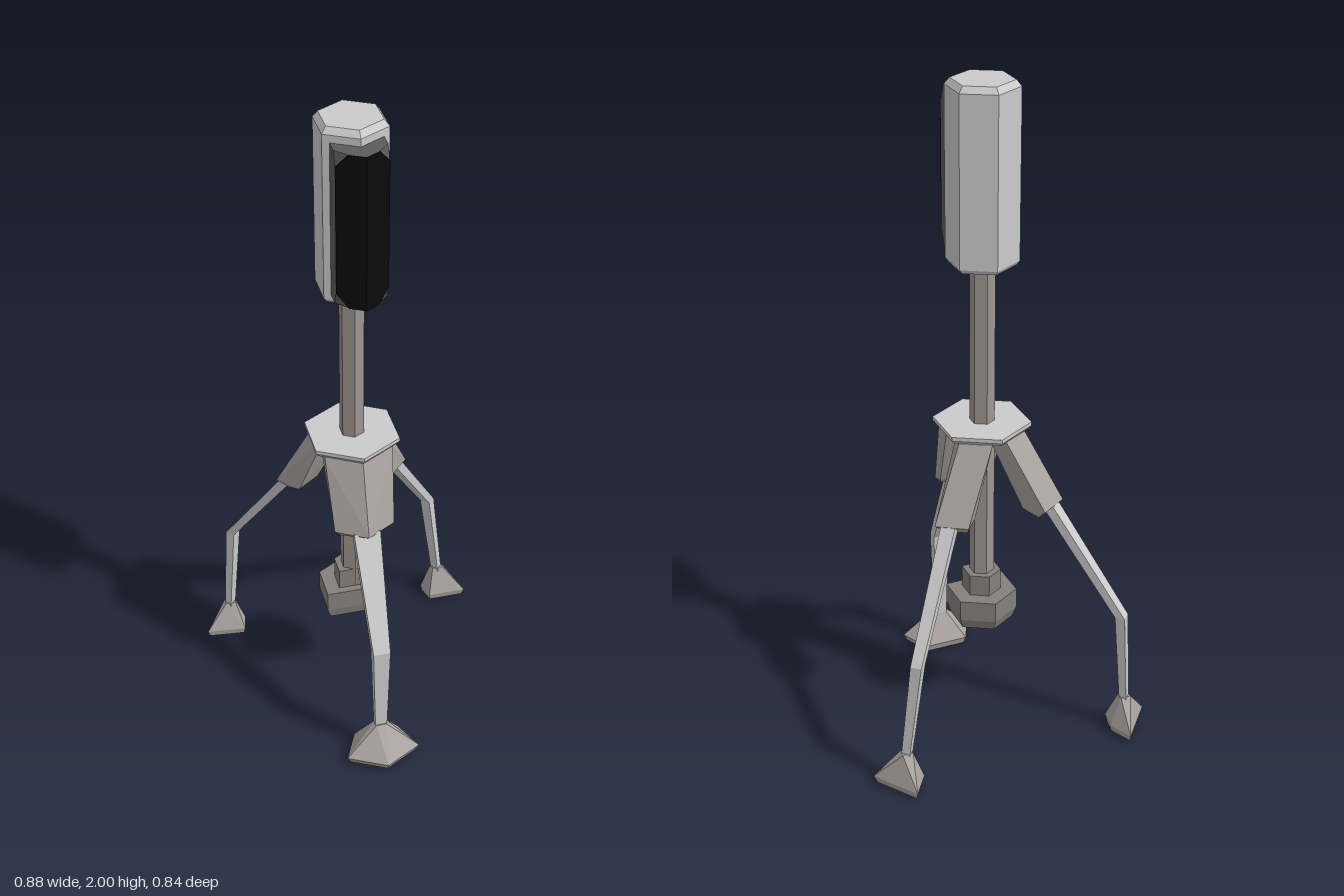
import * as THREE from 'three';
import { ConvexGeometry } from 'three/addons/geometries/ConvexGeometry.js';

const CX = -0.021, CZ = -0.024; // axis of the mast

const material = (name, color) => {
  const m = new THREE.MeshStandardMaterial({ color });
  m.name = name;
  return m;
};

export function createModel() {
  const group = new THREE.Group();
  const light = material('lightGrey', 0xcbcbcb);
  const warm = material('warmGrey', 0xaba4a1);
  const steel = material('mastGrey', 0x9d9590);
  const weightMat = material('weightGrey', 0x85807c);
  const dark = material('darkGrey', 0x5c5c5c);
  const black = material('black', 0x0a0a0a);

  // Faceted convex solid through a handful of [x, y, z] points
  const hull = (name, points, mat, parent = group) => {
    const mesh = new THREE.Mesh(
      new ConvexGeometry(points.map((p) => new THREE.Vector3(...p))), mat);
    mesh.name = name;
    parent.add(mesh);
    return mesh;
  };
  // Hexagonal prism with a corner to the front, from [radius, y] levels
  const hexPrism = (name, levels, mat) => {
    const pts = [];
    for (const [r, y] of levels)
      for (let i = 0; i < 6; i++) {
        const a = i * Math.PI / 3;
        pts.push([CX + r * Math.sin(a), y, CZ + r * Math.cos(a)]);
      }
    return hull(name, pts, mat);
  };

  // Column: head, mast and deck
  hexPrism('head', [[0.095, 1.472], [0.105, 1.485], [0.105, 1.982], [0.09, 2]], light);
  hexPrism('mast', [[0.037, 0.38], [0.037, 1.48]], steel);
  hexPrism('deck', [[0.136, 0.962], [0.145, 0.973], [0.145, 0.985]], light);

  // Hanging weights: hexagons cut flat at the front
  const cutHex = (name, levels, front) => {
    const pts = [];
    for (const [r, y] of levels) {
      const a = r * 0.866;
      pts.push([CX - a, y, CZ + r * front], [CX + a, y, CZ + r * front],
        [CX - a, y, CZ - r / 2], [CX + a, y, CZ - r / 2], [CX, y, CZ - r]);
    }
    hull(name, pts, weightMat);
  };
  cutHex('weightCollar', [[0.058, 0.40], [0.058, 0.477]], 0.6);
  cutHex('weight', [[0.095, 0.313], [0.107, 0.345], [0.107, 0.41]], 0.54);

  // Front panel housing: wedge front with clipped corners
  const W = 0.073, MID = 1.73, H = 0.23;
  const housing = [];
  for (const sy of [-1, 1]) {
    const y = MID + sy * H;
    housing.push([CX, y, 0.138]);
    for (const sx of [-1, 1]) {
      housing.push([CX + sx * W, y, 0.02], [CX + sx * W, y, 0.08],
        [CX + sx * 0.042, y, 0.114], [CX + sx * W, y - sy * 0.04, 0.096]);
    }
  }
  hull('panelHousing', housing, dark);

  // Black panel: a thin plate on each face of the wedge
  for (const sx of [-1, 1]) {
    const plate = [];
    for (const dz of [-0.002, 0.004])
      for (const sy of [-1, 1])
        plate.push([CX, MID + sy * H, 0.138 + dz],
          [CX + sx * 0.042, MID + sy * H, 0.114 + dz],
          [CX + sx * W, MID + sy * (H - 0.04), 0.096 + dz]);
    hull(sx < 0 ? 'panelRight' : 'panelLeft', plate, black);
  }

  // Leg strut in tapered segments; each joint is [x, y, z, half width, half depth]
  const strut = (joints, angle, parent) => {
    const c = Math.cos(angle), s = Math.sin(angle);
    const ring = ([x, y, z, w, d]) => [[-1, -1], [1, -1], [1, 1], [-1, 1]]
      .map(([u, v]) => [x + u * w * c + v * d * s, y, z - u * w * s + v * d * c]);
    for (let i = 0; i + 1 < joints.length; i++)
      hull(i ? 'lowerStrut' : 'upperStrut',
        [...ring(joints[i]), ...ring(joints[i + 1])], light, parent);
  };
  // Pyramid foot on a floor outline of [x, z] points
  const foot = (outline, [ax, az], parent) => {
    const pts = [];
    for (const [x, z] of outline)
      pts.push([x, 0.027, z], [ax + (x - ax) * 0.9, 0.005, az + (z - az) * 0.9]);
    for (const u of [-1, 1])
      for (const v of [-1, 1]) pts.push([ax + u * 0.016, 0.118, az + v * 0.012]);
    pts.push([ax, 0, az]);
    hull('foot', pts, warm, parent);
  };
  const legGroup = (name) => {
    const leg = new THREE.Group();
    leg.name = name;
    group.add(leg);
    return leg;
  };

  // Front leg
  const front = legGroup('frontLeg');
  const shoulder = [[CX, 0.965, 0.105], [CX, 0.735, 0.178], [CX, 0.715, 0.145]];
  for (const s of [-1, 1])
    shoulder.push([CX + s * 0.102, 0.965, 0.058], [CX + s * 0.1, 0.965, 0.0],
      [CX + s * 0.09, 0.735, 0.125], [CX + s * 0.07, 0.715, 0.12],
      [CX + s * 0.085, 0.74, 0.095]);
  hull('shoulder', shoulder, warm, front);
  strut([[CX, 0.74, 0.14, 0.04, 0.018], [CX, 0.412, 0.316, 0.026, 0.016],
    [CX, 0.1, 0.32, 0.018, 0.011]], 0, front);
  foot([[-0.09, 0.265], [0.05, 0.265], [0.093, 0.36], [CX, 0.42], [-0.135, 0.36]],
    [CX, 0.322], front);

  // Back legs, mirrored across the mast with slightly different reach
  const backLeg = (name, s, kneeX, ankleX, outline) => {
    const leg = legGroup(name);
    const mx = (x) => CX + s * (x - CX);
    hull('shoulder', [
      [0.0, 0.965, -0.15], [0.08, 0.965, -0.095], [-0.03, 0.965, -0.08], [0.06, 0.965, -0.03],
      [0.1, 0.74, -0.208], [0.183, 0.74, -0.155], [0.092, 0.712, -0.182], [0.148, 0.712, -0.145],
      [0.055, 0.735, -0.15], [0.125, 0.735, -0.098],
    ].map(([x, y, z]) => [mx(x), y, z]), warm, leg);
    strut([[mx(0.138), 0.74, -0.162, 0.022, 0.018], [kneeX, 0.412, -0.339, 0.017, 0.015],
      [ankleX, 0.1, -0.337, 0.013, 0.011]], s * Math.PI * 0.75, leg);
    foot(outline, [ankleX, -0.337], leg);
  };
  backLeg('backLeftLeg', 1, 0.313, 0.352,
    [[0.352, -0.423], [0.44, -0.294], [0.318, -0.294], [0.302, -0.35]]);
  backLeg('backRightLeg', -1, -0.338, -0.36,
    [[-0.342, -0.423], [-0.445, -0.303], [-0.322, -0.29], [-0.31, -0.35]]);

  return group;
}
